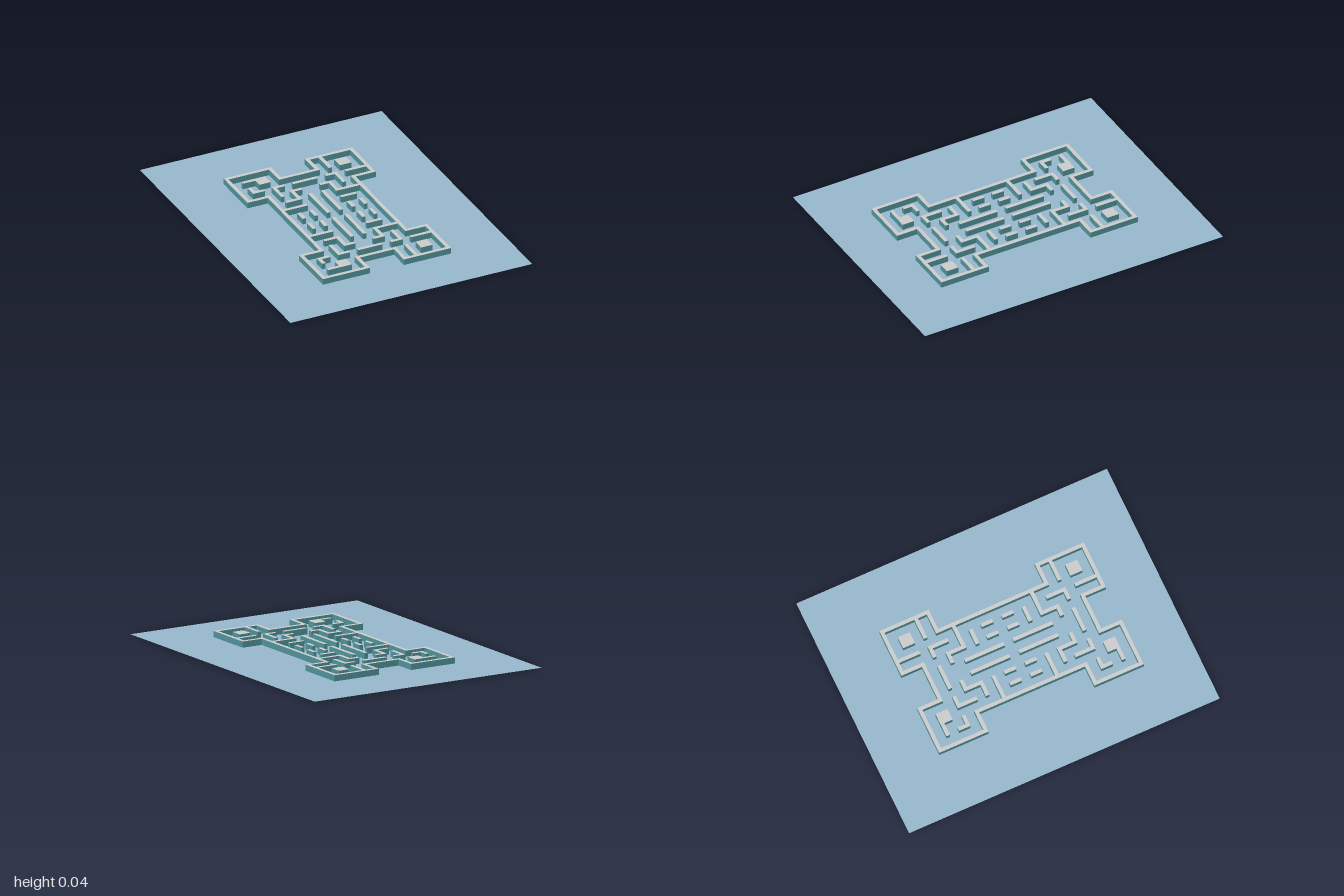
import * as THREE from 'three';

const T = 0.023;      // wall thickness
const TOP = 0.04;     // wall height
const FLOOR = 0.003;  // floor level

export function createModel() {
  const floorMat = new THREE.MeshStandardMaterial({ name: 'paleBlueFloor', color: 0x98b8cc, side: THREE.DoubleSide });
  const wallMat = new THREE.MeshStandardMaterial({ name: 'tealWall', color: 0x4f9299 });
  const capMat = new THREE.MeshStandardMaterial({ name: 'lightGreyCap', color: 0xcccccc });
  const boxMats = [wallMat, wallMat, capMat, wallMat, wallMat, wallMat];

  const model = new THREE.Group();
  model.name = 'mazeBoard';

  // Thin floor sheet
  const floor = new THREE.Mesh(new THREE.PlaneGeometry(1.574, 2).rotateX(-Math.PI / 2), floorMat);
  floor.name = 'floor';
  floor.position.y = FLOOR;
  model.add(floor);

  // Teal box with a light top, given by its footprint
  function block(parent, name, x1, z1, x2, z2, bottom) {
    const mesh = new THREE.Mesh(
      new THREE.BoxGeometry(Math.abs(x2 - x1), TOP - bottom, Math.abs(z2 - z1)), boxMats);
    mesh.position.set((x1 + x2) / 2, (TOP + bottom) / 2, (z1 + z2) / 2);
    mesh.name = name;
    parent.add(mesh);
  }

  // Wall following a centreline of axis-aligned points
  function wall(parent, name, points, s, bottom) {
    for (let i = 1; i < points.length; i++) {
      const [ax, az] = points[i - 1], [bx, bz] = points[i];
      const h = T / 2;
      block(parent, name,
        Math.min(ax, bx) - h, Math.min(az * s, bz * s) - h,
        Math.max(ax, bx) + h, Math.max(az * s, bz * s) + h, bottom);
    }
  }

  // Outer wall of the back half
  const side = [[0.122, -0.514], [0.122, -0.647], [0.406, -0.647], [0.406, -0.352], [0.275, -0.352], [0.275, 0]];
  const outline = [...side.map(([x, z]) => [-x, z]).reverse(), ...side];

  // Inner walls of the back half
  const inner = [
    [[-0.33, -0.565], [-0.2, -0.565]],
    [[-0.33, -0.483], [-0.33, -0.432], [-0.275, -0.432]],
    [[-0.07, -0.432], [0.065, -0.432]],
    [[0.275, -0.432], [0.406, -0.432]],
    [[0.2, -0.647], [0.2, -0.511]],
    [[-0.07, -0.352], [-0.122, -0.352], [-0.122, -0.251], [-0.2, -0.251]],
    [[0.07, -0.352], [0.122, -0.352], [0.122, -0.251], [0.275, -0.251]],
    [[-0.275, -0.17], [-0.124, -0.17]],
    [[0.116, -0.17], [0.193, -0.17]],
  ];
  for (const m of [-1, 1]) {
    inner.push([[m * 0.145, -0.432], [m * 0.2, -0.432], [m * 0.2, -0.326]]);
    inner.push([[m * 0.041, -0.271], [m * 0.041, -0.041]]);
    for (const x of [0.122, 0.2]) inner.push([[m * x, -0.092], [m * x, -0.041]]);
  }

  // Both halves, mirrored front to back
  const maze = new THREE.Group();
  maze.name = 'maze';
  maze.position.set(-0.002, 0, 0.022);
  for (const s of [1, -1]) {
    const half = new THREE.Group();
    half.name = s > 0 ? 'backHalf' : 'frontHalf';
    wall(half, 'outerWall', outline, s, 0);
    inner.forEach((p) => wall(half, 'innerWall', p, s, FLOOR));
    block(half, 'cornerBlock', -0.262, -0.577 * s, -0.189, -0.5 * s, FLOOR);
    block(half, 'cornerBlock', 0.262, -0.577 * s, 0.337, -0.5 * s, FLOOR);
    maze.add(half);
  }
  model.add(maze);
  return model;
}
